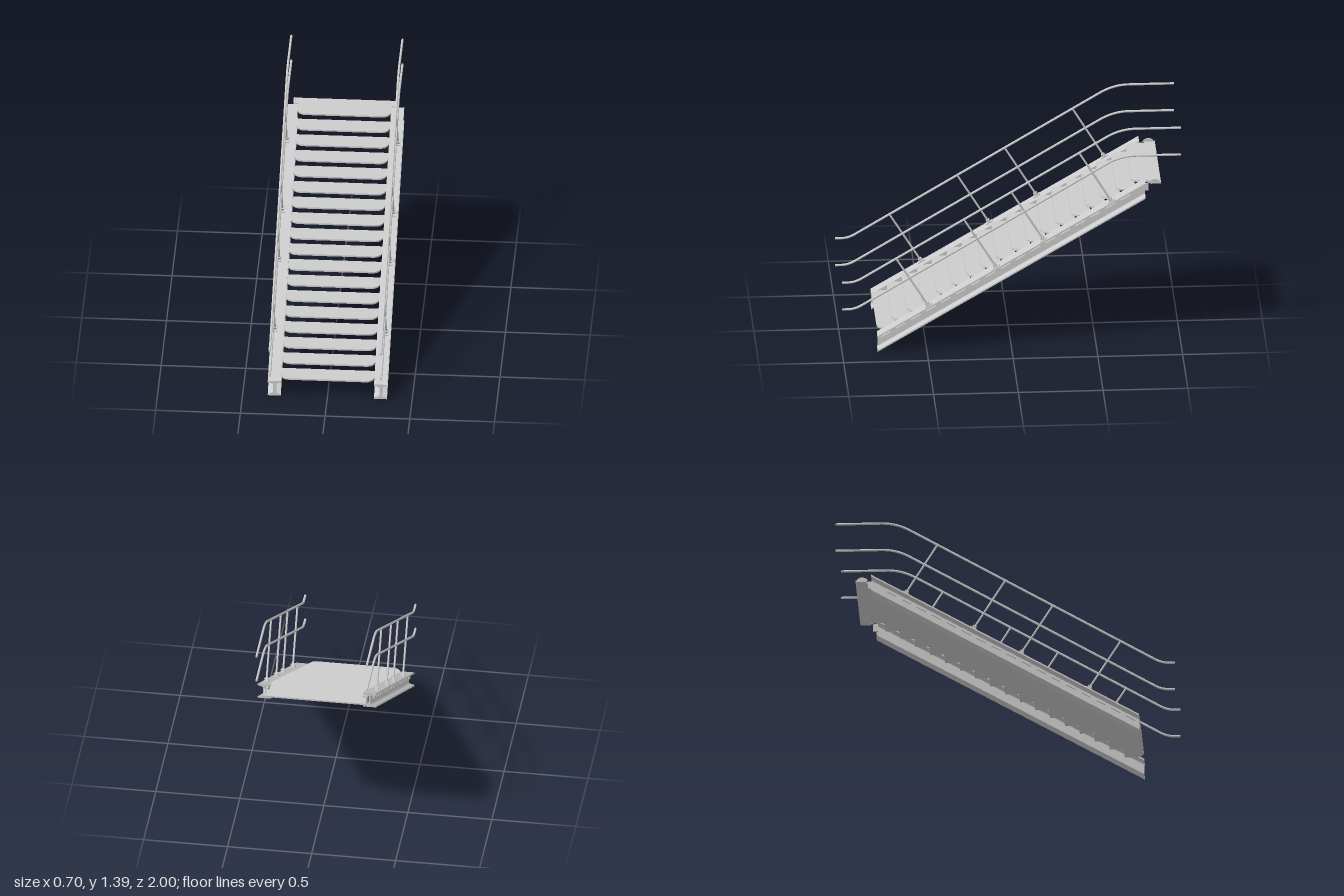
import * as THREE from 'three';

const SLOPE = 0.595;          // rise per unit of run
const END = 0.79;             // half length of the stringers in z
const STEPS = 18;
const RUN = 0.0882, RISE = 0.0532;
const RAIL_X = 0.328;

const material = new THREE.MeshStandardMaterial({ color: 0xcccccc, side: THREE.DoubleSide });

function addMesh(parent, name, geometry, x = 0, y = 0, z = 0) {
  const mesh = new THREE.Mesh(geometry, material);
  mesh.name = name;
  mesh.position.set(x, y, z);
  parent.add(mesh);
  return mesh;
}

function polygon(points) {
  return new THREE.Shape(points.map(([x, y]) => new THREE.Vector2(x, y)));
}

// Height of the stringer's upper face at a given z
const stringerTop = (z) => 0.1 + SLOPE * (END - z);

// Shear a geometry so that its z direction follows the stair pitch
function pitch(geometry) {
  const shear = new THREE.Matrix4().set(1, 0, 0, 0, 0, 1, -SLOPE, 0, 0, 0, 1, 0, 0, 0, 0, 1);
  return geometry.applyMatrix4(shear);
}

// Round bar between two points
function bar(parent, name, a, b, radius) {
  const dir = b.clone().sub(a);
  const mesh = addMesh(parent, name, new THREE.CylinderGeometry(radius, radius, dir.length(), 12));
  mesh.position.copy(a).add(b).multiplyScalar(0.5);
  mesh.quaternion.setFromUnitVectors(new THREE.Vector3(0, 1, 0), dir.normalize());
}

// I-beam with tapered flanges, cut vertically at both ends
function stringer(parent, side) {
  const w = 0.0385, t = 0.006;
  const right = [[w, 0], [w, 0.01], [t + 0.006, 0.018], [t, 0.024], [t, 0.076], [t + 0.006, 0.082], [w, 0.09], [w, 0.1]];
  const left = right.map(([x, y]) => [-x, y]).reverse();
  const geo = new THREE.ExtrudeGeometry(polygon([...right, ...left]), { depth: 2 * END, bevelEnabled: false });
  geo.translate(0, 0, -END);
  addMesh(parent, 'stringer', pitch(geo), side * 0.3135, SLOPE * END, 0);
}

// Flat plate with rounded front corners; front edge at z = 0, running back
function treadGeometry(depth, ears) {
  const h = 0.277, r = 0.055, s = new THREE.Shape();
  s.moveTo(-h + r, 0);
  s.lineTo(h - r, 0);
  s.quadraticCurveTo(h - 0.005, 0, h, r);
  if (ears) {
    s.lineTo(h, 0.112); s.lineTo(0.305, 0.112);
    s.lineTo(0.305, depth); s.lineTo(-0.305, depth);
    s.lineTo(-0.305, 0.112); s.lineTo(-h, 0.112);
  } else {
    s.lineTo(h, depth); s.lineTo(-h, depth);
  }
  s.lineTo(-h, r);
  s.quadraticCurveTo(-h + 0.005, 0, -h + r, 0);
  const geo = new THREE.ExtrudeGeometry(s, { depth: 0.01, bevelEnabled: false, curveSegments: 8 });
  return geo.rotateX(-Math.PI / 2).translate(0, -0.005, 0);
}

// Handrail: level, bend, pitched run, bend, level
function railPath(x, drop) {
  const p = (z, y) => new THREE.Vector3(x, y - drop, z);
  const run = (z) => p(z, 0.995 - 0.602 * z);
  const low = 0.439, high = 1.382;
  const zLow = (0.995 - low) / 0.602, zHigh = (0.995 - high) / 0.602;
  const path = new THREE.CurvePath();
  path.add(new THREE.LineCurve3(p(1, low), p(zLow + 0.04, low)));
  path.add(new THREE.QuadraticBezierCurve3(p(zLow + 0.04, low), p(zLow, low), run(zLow - 0.04)));
  path.add(new THREE.LineCurve3(run(zLow - 0.04), run(zHigh + 0.08)));
  path.add(new THREE.QuadraticBezierCurve3(run(zHigh + 0.08), p(zHigh, high), p(zHigh - 0.09, high)));
  path.add(new THREE.LineCurve3(p(zHigh - 0.09, high), p(-1, high)));
  return path;
}

function handrail(parent, side) {
  const group = new THREE.Group();
  group.name = side > 0 ? 'leftHandrail' : 'rightHandrail';
  parent.add(group);
  const x = side * RAIL_X;

  // Upper and lower rails with closed ends
  [['upperRail', 0], ['lowerRail', 0.172]].forEach(([name, drop]) => {
    const path = railPath(x, drop);
    addMesh(group, name, new THREE.TubeGeometry(path, 120, 0.007, 12, false));
    [0, 1].forEach((t) => {
      const end = path.getPoint(t);
      addMesh(group, 'railEnd', new THREE.CircleGeometry(0.007, 12), end.x, end.y, end.z);
    });
  });

  // Posts square to the pitch, each on a bolted foot
  [0.68, 0.28, 0, -0.4].forEach((z) => {
    const footZ = z - 0.19;
    const footY = stringerTop(footZ);
    bar(group, 'post', new THREE.Vector3(x, footY, footZ), new THREE.Vector3(x, 0.995 - 0.602 * z, z), 0.006);
    const foot = new THREE.Group();
    foot.name = 'postFoot';
    foot.position.set(x, footY, footZ);
    foot.rotation.x = Math.atan(SLOPE);
    group.add(foot);
    addMesh(foot, 'footPlate', new THREE.BoxGeometry(0.03, 0.006, 0.045), 0, 0.003, 0);
    addMesh(foot, 'footSocket', new THREE.BoxGeometry(0.018, 0.022, 0.022), 0, 0.013, 0);
    const bolt = new THREE.CylinderGeometry(0.004, 0.004, 0.032, 6).rotateZ(Math.PI / 2);
    addMesh(foot, 'footBolt', bolt, 0, 0.014, 0);
  });
}

export function createModel() {
  const model = new THREE.Group();
  model.name = 'staircase';

  // Treads, the last one being the wider top landing
  const tread = treadGeometry(0.115, false);
  for (let i = 0; i < STEPS; i++) {
    const last = i === STEPS - 1;
    addMesh(model, last ? 'landing' : 'tread', last ? treadGeometry(0.175, true) : tread,
      0, 0.117 + RISE * i, END - RUN * i);
  }

  for (const side of [1, -1]) {
    stringer(model, side);
    handrail(model, side);

    // Cleats along the outer face of each web
    for (let i = 0; i < STEPS - 1; i++) {
      const z = END - 0.05 - RUN * i;
      const cleat = pitch(new THREE.BoxGeometry(0.012, 0.018, 0.055));
      addMesh(model, 'cleat', cleat, side * 0.325, stringerTop(z) - 0.037, z);
    }

    // Raised end plate on each side of the landing
    const cheek = polygon([[0.81, 0], [0.82, 0.014], [0.838, 0.024], [0.855, 0.024], [0.872, 0.014], [0.88, 0]]);
    const cheekGeo = new THREE.ExtrudeGeometry(cheek, { depth: 0.008, bevelEnabled: false });
    cheekGeo.rotateY(Math.PI / 2).translate(-0.004, 0, 0);
    addMesh(model, 'landingCheek', cheekGeo, side * 0.3, 1.022, 0);

    // Bracket joining the stringer head to the landing
    addMesh(model, 'landingBracket', new THREE.BoxGeometry(0.012, 0.045, 0.03), side * 0.297, 0.995, -0.795);
  }
  return model;
}
